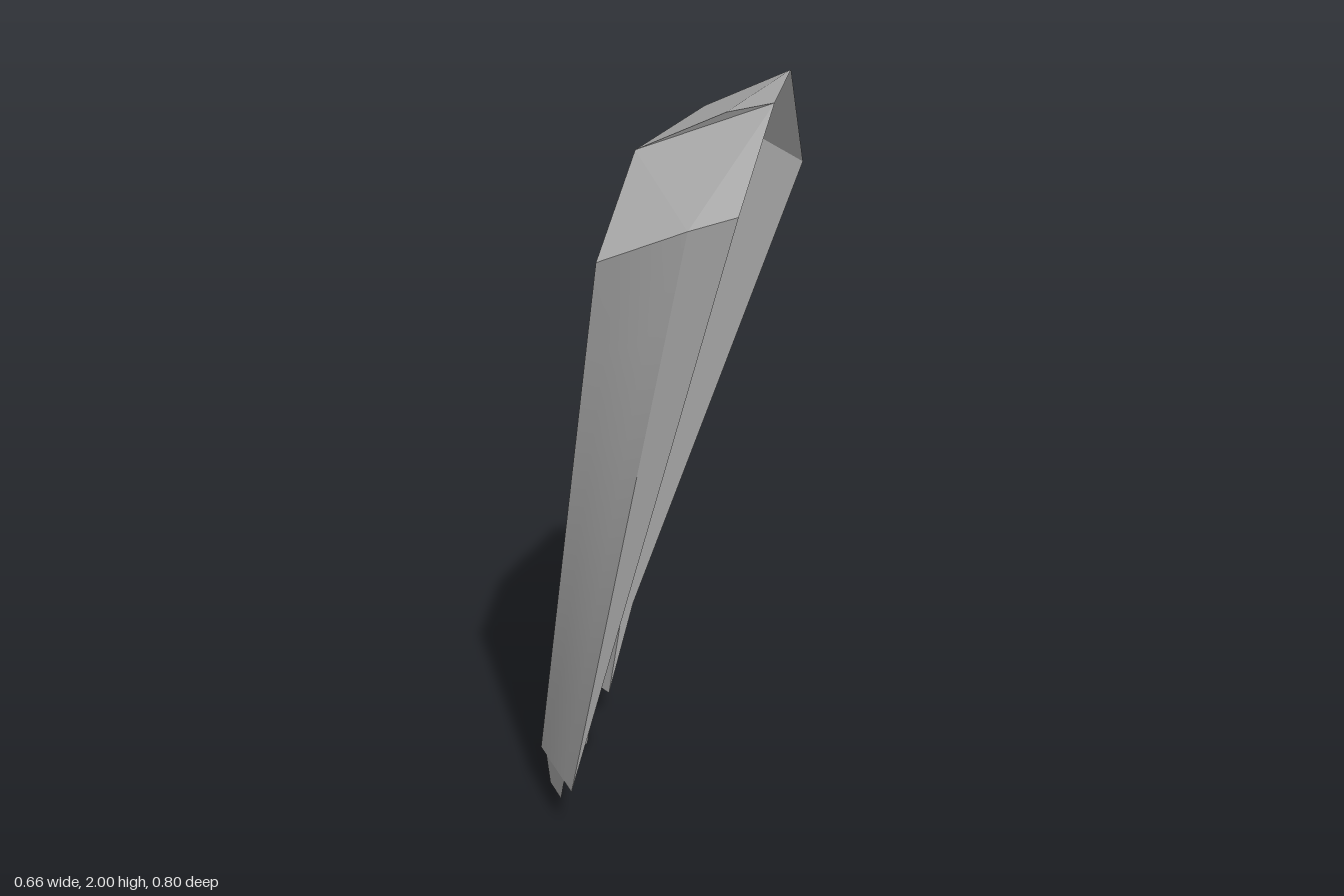
import * as THREE from 'three';

const stone = new THREE.MeshStandardMaterial({ color: 0xb0b0b0, side: THREE.DoubleSide });
stone.name = 'grey stone';

// Shell corners
const wallBack = [0, 1.86, -0.24], wallFront = [0, 1.86, 0.18];
const roofBack = [0.22, 1.97, -0.24], roofFront = [0.22, 1.97, 0.18], peak = [0.33, 2, 0.17];
const browInner = [0, 1.66, 0.4], browMid = [0.22, 1.76, 0.4], browOuter = [0.33, 1.8, 0.38];
const backTip = [0.2, 1.7, -0.4], backFoot = [-0.33, 0.08, -0.36];
const cornerFoot = [-0.33, 0.15, 0.08], frontFoot = [-0.16, 0.15, 0.25];

// Flat faceted panel: outline triangulated in the plane of two axes (0 = x, 1 = y, 2 = z)
function panel(name, outline, [a, b]) {
  const flat = outline.map((p) => new THREE.Vector2(p[a], p[b]));
  const corners = THREE.ShapeUtils.triangulateShape(flat, []).flat();
  const geometry = new THREE.BufferGeometry();
  geometry.setAttribute('position', new THREE.Float32BufferAttribute(corners.flatMap((i) => outline[i]), 3));
  geometry.computeVertexNormals();
  return named(name, geometry);
}

function named(name, geometry) {
  const mesh = new THREE.Mesh(geometry, stone);
  mesh.name = name;
  return mesh;
}

// Gently twisted panel ruled between a lower and an upper edge
function ruledPanel(name, lowA, lowB, topA, topB) {
  const geometry = new THREE.PlaneGeometry(1, 1, 4, 6);
  const pos = geometry.attributes.position;
  const v = (p) => new THREE.Vector3(...p);
  for (let i = 0; i < pos.count; i++) {
    const s = pos.getX(i) + 0.5, t = pos.getY(i) + 0.5;
    const low = v(lowA).lerp(v(lowB), s), top = v(topA).lerp(v(topB), s);
    pos.setXYZ(i, ...low.lerp(top, t).toArray());
  }
  geometry.computeVertexNormals();
  return named(name, geometry);
}

export function createModel() {
  const group = new THREE.Group();
  group.name = 'brokenShell';

  // Capping faces
  group.add(panel('roof', [wallBack, wallFront, roofFront, peak, roofBack], [0, 2]));
  group.add(panel('frontBevel', [wallFront, browInner, browMid, browOuter, peak, roofFront], [0, 1]));
  group.add(panel('backBevel', [wallBack, roofBack, backTip], [0, 1]));

  // Leaning side wall with its broken lower edge
  const brokenEdge = [[0.15, 0.01], [0, -0.06], [0, -0.21], [0.15, -0.28]].map(([y, z]) => [-0.33, y, z]);
  group.add(panel('sideWall', [wallBack, wallFront, cornerFoot, ...brokenEdge, backFoot], [2, 1]));

  // Corner facet and back face
  group.add(panel('cornerFacet', [wallFront, browInner, cornerFoot], [2, 1]));
  group.add(panel('backFace', [wallBack, backTip, [-0.25, 0.39, -0.354], backFoot], [0, 1]));

  // Front face, its narrow outer strip and the broken tooth below
  group.add(ruledPanel('frontFace', cornerFoot, frontFoot, browInner, browMid));
  group.add(panel('frontStrip', [browMid, frontFoot, browOuter], [0, 1]));
  const tooth = [[-0.3, 0.15], [-0.28, 0.08], [-0.22, 0.08], [-0.2, 0.15]].map(([x, y]) => [x, y, x + 0.41]);
  group.add(panel('frontTooth', tooth, [0, 1]));

  return group;
}
